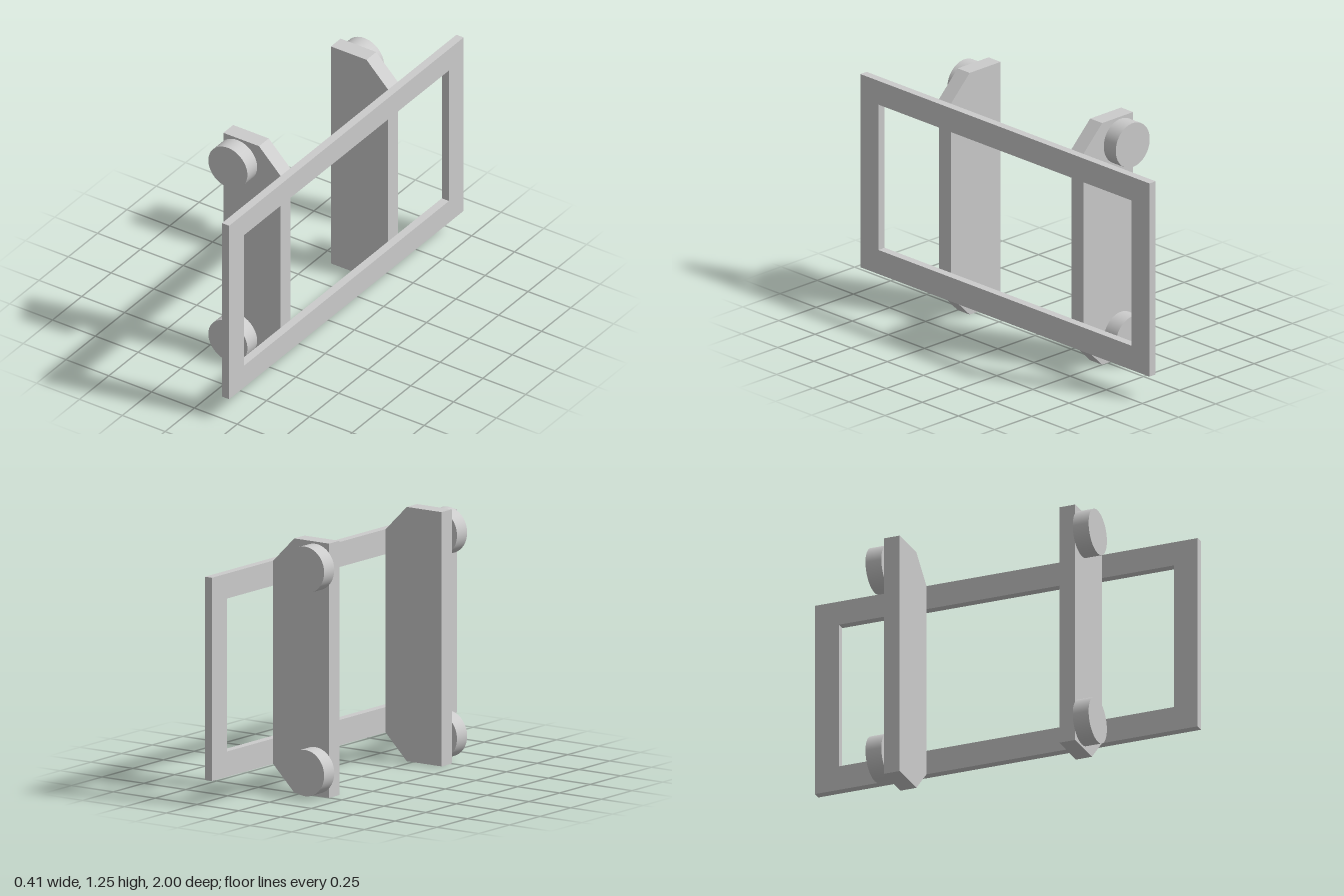
import * as THREE from 'three';

const material = new THREE.MeshStandardMaterial({ color: 0xcccccc });

function part(name, geometry, x, y, z) {
  const mesh = new THREE.Mesh(geometry, material);
  mesh.name = name;
  mesh.position.set(x, y, z);
  return mesh;
}

const outline = (pts) => pts.map(([x, y]) => new THREE.Vector2(x, y));

export function createModel() {
  const group = new THREE.Group();
  group.name = 'framedRack';

  // Upright rectangular frame with an open window, drawn in the z-y plane
  const frameShape = new THREE.Shape(outline([[-1, 0.126], [1, 0.126], [1, 1.127], [-1, 1.127]]));
  frameShape.holes.push(new THREE.Path(
    outline([[-0.875, 0.251], [-0.875, 1.004], [0.875, 1.004], [0.875, 0.251]])));
  const frameGeo = new THREE.ExtrudeGeometry(frameShape, { depth: 0.042, bevelEnabled: false });
  frameGeo.rotateY(Math.PI / 2);
  group.add(part('frame', frameGeo, 0.161, 0, 0));

  // Chamfered side plate
  const plateShape = new THREE.Shape(outline([
    [-0.173, 0], [0.035, 0], [0.161, 0.126], [0.161, 1.127], [0.035, 1.252], [-0.173, 1.252],
  ]));
  const plateGeo = new THREE.ExtrudeGeometry(plateShape, { depth: 0.083, bevelEnabled: false });

  // Round boss with its axis along z
  const bossGeo = new THREE.CylinderGeometry(0.114, 0.114, 0.083, 64);
  bossGeo.rotateX(Math.PI / 2);

  // Two mirrored plates, each with two bosses on its outer face
  for (const side of [1, -1]) {
    const bracket = new THREE.Group();
    bracket.name = side > 0 ? 'frontBracket' : 'backBracket';
    bracket.add(part('sidePlate', plateGeo, 0, 0, side > 0 ? 0.417 : -0.5));
    bracket.add(part('lowerBoss', bossGeo, -0.09, 0.126, side * 0.5415));
    bracket.add(part('upperBoss', bossGeo, -0.09, 1.127, side * 0.5415));
    group.add(bracket);
  }
  return group;
}
